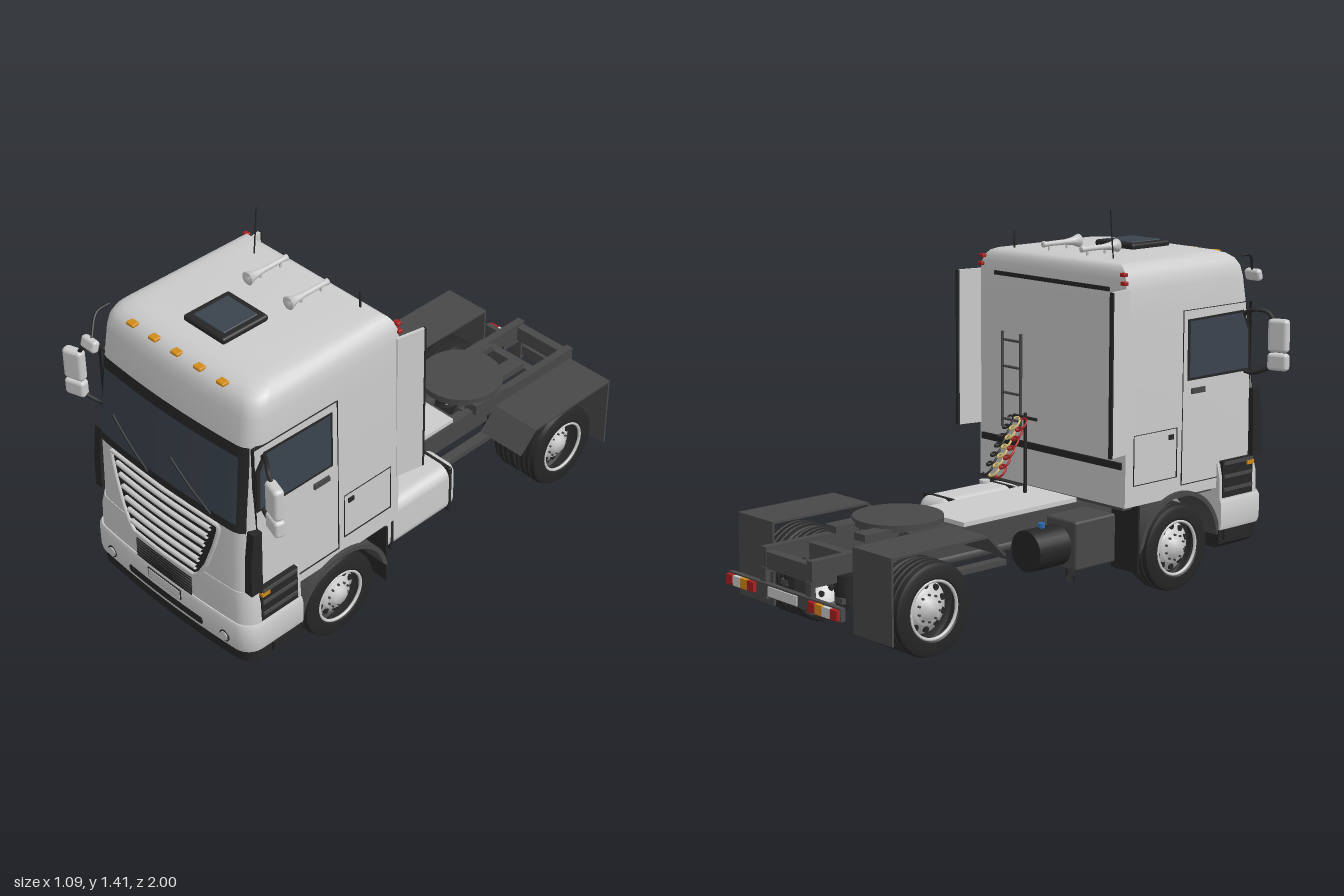
import * as THREE from 'three';
import { toCreasedNormals } from 'three/addons/utils/BufferGeometryUtils.js';
import { RoundedBoxGeometry } from 'three/addons/geometries/RoundedBoxGeometry.js';

const mat = (color) => new THREE.MeshStandardMaterial({ color, side: THREE.DoubleSide });
const V = (x, y, z) => new THREE.Vector3(x, y, z);

export function createModel() {
  const root = new THREE.Group();
  const grey = mat(0xcccccc), dark = mat(0x484848), black = mat(0x262626), glass = mat(0x3a434d);
  const amber = mat(0xd08a18), red = mat(0xa82020), blue = mat(0x2a6ab0), white = mat(0xe8e8e8), yellow = mat(0xd8c070);

  const add = (name, geo, m, p = [0, 0, 0], r = [0, 0, 0], parent = root) => {
    const mesh = new THREE.Mesh(geo, m);
    mesh.name = name; mesh.position.set(...p); mesh.rotation.set(...r);
    parent.add(mesh);
    return mesh;
  };
  // box given by its min and max along each axis
  const box = (name, m, x, y, z) => add(name, new THREE.BoxGeometry(x[1] - x[0], y[1] - y[0], z[1] - z[0]), m,
    [(x[0] + x[1]) / 2, (y[0] + y[1]) / 2, (z[0] + z[1]) / 2]);
  const pairBox = (name, m, x, y, z) => { box(name, m, x, y, z); box(name, m, [-x[1], -x[0]], y, z); };
  const rbox = (name, m, size, p, rad = 0.01, r) => add(name, new RoundedBoxGeometry(...size, 3, rad), m, p, r);
  const rotFor = { x: [0, 0, -Math.PI / 2], y: [0, 0, 0], z: [Math.PI / 2, 0, 0] };
  const cyl = (name, m, r1, r2, len, axis, p, parent) =>
    add(name, new THREE.CylinderGeometry(r1, r2, len, 28), m, p, rotFor[axis], parent);
  const tube = (name, m, pts, r, n = 24, straight = false) => {
    const v = pts.map((p) => V(...p));
    let path = new THREE.CatmullRomCurve3(v);
    if (straight) { path = new THREE.CurvePath(); v.slice(1).forEach((p, i) => path.add(new THREE.LineCurve3(v[i], p))); }
    return add(name, new THREE.TubeGeometry(path, n, r, 8), m);
  };
  // flat plate with a [z, y] outline, between x0 and x1, on both sides
  const sidePlate = (name, m, pts, x0, x1) => {
    const shape = new THREE.Shape(pts.map(([z, y]) => new THREE.Vector2(-z, y)));
    for (const s of [1, -1]) {
      const geo = new THREE.ExtrudeGeometry(shape, { depth: x1 - x0, bevelEnabled: false }).rotateY(Math.PI / 2);
      add(name, geo, m, [s > 0 ? x0 : -x1, 0, 0]);
    }
  };

  // Body sections: [y, half width, front z, back z, corner radius, bow]
  const cab = [[0.36, 0.385, 0.985, 0.245, 0.06, 0.02], [0.71, 0.388, 0.97, 0.245, 0.06, 0.02],
    [1.04, 0.386, 0.928, 0.245, 0.06, 0.02], [1.14, 0.383, 0.912, 0.245, 0.06, 0.02],
    [1.18, 0.377, 0.902, 0.247, 0.06, 0.02], [1.205, 0.365, 0.886, 0.253, 0.06, 0.02],
    [1.222, 0.347, 0.862, 0.262, 0.06, 0.02], [1.232, 0.32, 0.83, 0.28, 0.06, 0.02], [1.236, 0.28, 0.79, 0.31, 0.06, 0.02]];
  const bumper = [[0.2, 0.408, 0.998, 0.73, 0.06, 0.02], [0.215, 0.412, 1, 0.73, 0.06, 0.02],
    [0.3, 0.412, 1, 0.73, 0.06, 0.02], [0.315, 0.406, 0.994, 0.73, 0.06, 0.02]];
  const skirt = [[0.13, 0.385, 0.965, 0.73, 0.06, 0.02], [0.145, 0.402, 0.988, 0.73, 0.06, 0.02], [0.2, 0.404, 0.992, 0.73, 0.06, 0.02]];
  const apron = [[0.315, 0.402, 0.99, 0.73, 0.06, 0.02], [0.4, 0.4, 0.988, 0.73, 0.06, 0.02], [0.45, 0.389, 0.983, 0.73, 0.06, 0.02]];

  const section = (prof, y) => {
    let i = 0;
    while (i < prof.length - 2 && y > prof[i + 1][0]) i++;
    const t = THREE.MathUtils.clamp((y - prof[i][0]) / (prof[i + 1][0] - prof[i][0]), 0, 1);
    return prof[i].map((a, k) => a + (prof[i + 1][k] - a) * t);
  };
  const frontZ = ([, hw, zf, , r, bow], x) => {
    const d = Math.min(r, Math.max(0, Math.abs(x) - hw + r));
    return zf - bow * (x / hw) ** 2 - (r - Math.sqrt(r * r - d * d));
  };
  const meshFrom = (pos, idx) => {
    const geo = new THREE.BufferGeometry();
    geo.setAttribute('position', new THREE.Float32BufferAttribute(pos, 3));
    geo.setIndex(idx);
    return toCreasedNormals(geo, 0.6);
  };
  const loft = (name, m, prof) => {
    const pos = [], idx = [];
    let n = 0;
    for (const s of prof) {
      const [y, hw, , zb, r] = s, xs = [];
      for (let k = 0; k <= 6; k++) xs.push(-hw + r - r * Math.cos(k * Math.PI / 12));
      for (let k = 1; k < 12; k++) xs.push((hw - r) * (k / 6 - 1));
      for (let k = 6; k >= 0; k--) xs.push(hw - r + r * Math.cos(k * Math.PI / 12));
      pos.push(-hw, y, zb);
      xs.forEach((x) => pos.push(x, y, frontZ(s, x)));
      pos.push(hw, y, zb);
      n = xs.length + 2;
    }
    const top = prof.length - 1, c = pos.length / 3;
    pos.push(0, prof[0][0], 0.8, 0, prof[top][0], 0.75);
    for (let j = 0; j < n; j++) {
      const k = (j + 1) % n;
      for (let i = 0; i < top; i++) idx.push(i * n + j, i * n + k, (i + 1) * n + k, i * n + j, (i + 1) * n + k, (i + 1) * n + j);
      idx.push(c, k, j, c + 1, top * n + j, top * n + k);
    }
    add(name, meshFrom(pos, idx), m);
  };
  // skin lying on a front surface, rows are [y, half width]
  const skin = (name, m, prof, rows, off) => {
    const pos = [], idx = [], N = 40;
    rows.forEach(([y, w], i) => {
      for (let j = 0; j <= N; j++) {
        const x = w * (2 * j / N - 1), a = i * (N + 1) + j, b = a + N + 1;
        pos.push(x, y, frontZ(section(prof, y), x) + off);
        if (i < rows.length - 1 && j < N) idx.push(a, a + 1, b + 1, a, b + 1, b);
      }
    });
    add(name, meshFrom(pos, idx), m);
  };
  const onCab = (x, y, off) => [x, y, frontZ(section(cab, y), x) + off];

  // Cab shell and bumper
  loft('cabShell', grey, cab);
  loft('bumper', grey, bumper);
  loft('lowerBumper', black, skirt);
  loft('frontApron', grey, apron);
  box('cabFloor', dark, [-0.36, 0.36], [0.345, 0.362], [0.26, 0.95]);

  // Windscreen, wipers and grille
  skin('windscreenFrame', black, cab, [[0.705, 0.372], [0.8, 0.37], [0.95, 0.368], [1.04, 0.365]], 0.004);
  skin('windscreen', glass, cab, [[0.74, 0.345], [0.85, 0.342], [1, 0.336]], 0.008);
  for (const x of [-0.07, 0.24]) tube('wiper', black, [onCab(x, 0.735, 0.015), onCab(x - 0.1, 0.79, 0.016), onCab(x - 0.2, 0.85, 0.014)], 0.004);
  const grilleRows = [[0.42, 0.155], [0.44, 0.18], [0.5, 0.215], [0.6, 0.252], [0.67, 0.272], [0.7, 0.276]];
  skin('grille', black, cab, grilleRows, 0.008);
  const edge = (s) => grilleRows.map(([y, w]) => onCab(s * w, y, 0.01));
  tube('grilleSurround', grey, [...edge(-1).reverse(), onCab(0, 0.418, 0.01), ...edge(1), onCab(0, 0.702, 0.01), edge(-1)[5]], 0.008, 120, true);
  for (let i = 0; i < 6; i++) {
    const y = 0.462 + i * 0.042, w = 0.168 + i * 0.0145;
    tube('grilleBar', grey, [-1, -0.5, 0, 0.5, 1].map((t) => onCab(t * w, y, 0.014)), 0.0095);
  }
  skin('lowerGrille', black, apron, [[0.322, 0.145], [0.404, 0.145]], 0.01);
  for (let i = 0; i < 6; i++) box('meshBar', dark, [-0.143, 0.143], [0.332 + i * 0.0125, 0.335 + i * 0.0125], [0.992, 0.999]);
  box('numberPlateFrame', black, [-0.087, 0.087], [0.263, 0.305], [0.99, 1.001]);
  box('numberPlate', white, [-0.082, 0.082], [0.267, 0.301], [0.995, 1.003]);
  skin('bumperIntake', black, bumper, [[0.218, 0.19], [0.234, 0.197], [0.25, 0.19]], 0.003);
  for (const s of [1, -1]) {
    cyl('fogLampRing', black, 0.023, 0.023, 0.02, 'z', [s * 0.298, 0.235, 0.982]);
    cyl('fogLamp', white, 0.018, 0.018, 0.02, 'z', [s * 0.298, 0.235, 0.985]);
  }

  // Doors, windows, lockers and steps
  const outline = (name, z0, z1, y0, y1) => {
    const t = 0.002;
    for (const [a, b, c, d] of [[z0, z1, y0, y0 + t], [z0, z1, y1 - t, y1], [z0, z0 + t, y0, y1], [z1 - t, z1, y0, y1]])
      pairBox(name, black, [0.375, 0.3895], [c, d], [a, b]);
  };
  outline('doorSeam', 0.535, 0.905, 0.4, 1.045);
  outline('lockerSeam', 0.285, 0.51, 0.435, 0.62);
  sidePlate('windowFrame', black, [[0.56, 0.785], [0.56, 1.01], [0.86, 1.015], [0.895, 0.94], [0.9, 0.785]], 0.37, 0.3895);
  sidePlate('sideWindow', glass, [[0.57, 0.795], [0.57, 1.003], [0.85, 1.006], [0.882, 0.94], [0.887, 0.795]], 0.37, 0.391);
  pairBox('doorHandle', dark, [0.38, 0.396], [0.735, 0.755], [0.58, 0.65]);
  pairBox('lockerLatch', black, [0.38, 0.392], [0.58, 0.598], [0.465, 0.49]);
  sidePlate('cornerDeflector', black, [[0.905, 0.46], [0.955, 0.46], [0.95, 0.6], [0.935, 0.715], [0.9, 0.715]], 0.375, 0.408);
  pairBox('stepWell', black, [0.36, 0.404], [0.32, 0.46], [0.745, 0.91]);
  for (const y of [0.345, 0.395, 0.445]) pairBox('stepTread', dark, [0.37, 0.41], [y, y + 0.012], [0.75, 0.905]);
  pairBox('lowerStep', black, [0.38, 0.414], [0.16, 0.2], [0.75, 0.87]);
  pairBox('sideIndicator', amber, [0.38, 0.411], [0.43, 0.446], [0.875, 0.91]);

  // Roof fittings
  rbox('roofHatch', black, [0.2, 0.025, 0.2], [0, 1.245, 0.665], 0.01);
  rbox('hatchGlass', glass, [0.15, 0.01, 0.15], [0, 1.256, 0.665], 0.004);
  for (let i = -2; i <= 2; i++) rbox('roofMarker', amber, [0.036, 0.013, 0.03], [i * 0.111, 1.216, 0.878], 0.005);
  const horn = [[0.001, 0], [0.012, 0], [0.009, 0.02], [0.01, 0.11], [0.015, 0.15], [0.025, 0.18], [0.001, 0.165]].map((p) => new THREE.Vector2(...p));
  for (const s of [1, -1]) {
    add('airHorn', new THREE.LatheGeometry(horn, 20), grey, [s * 0.1, 1.26, 0.3], [Math.PI / 2, 0, 0]);
    for (const z of [0.33, 0.42]) cyl('hornFoot', grey, 0.005, 0.005, 0.03, 'y', [s * 0.1, 1.245, z]);
    rbox('rearMarker', red, [0.025, 0.014, 0.02], [s * 0.37, 1.2, 0.243], 0.004);
    rbox('rearMarker', red, [0.025, 0.014, 0.02], [s * 0.375, 1.17, 0.241], 0.004);
  }
  tube('antenna', black, [[-0.222, 1.23, 0.34], [-0.225, 1.32, 0.328], [-0.23, 1.41, 0.315]], 0.0025);
  cyl('shortAntenna', black, 0.003, 0.004, 0.07, 'y', [0.255, 1.265, 0.3]);

  // Mirrors
  for (const s of [1, -1]) {
    rbox('mainMirror', grey, [0.08, 0.125, 0.04], [s * 0.505, 0.925, 0.925], 0.015, [0, -s * 0.3, 0]);
    rbox('wideMirror', grey, [0.08, 0.065, 0.04], [s * 0.505, 0.827, 0.925], 0.013, [0, -s * 0.3, 0]);
    tube('upperMirrorArm', black, [[s * 0.375, 0.99, 0.86], [s * 0.41, 1.015, 0.875], [s * 0.46, 1.01, 0.91], [s * 0.49, 0.97, 0.92]], 0.008);
    tube('lowerMirrorArm', black, [[s * 0.38, 0.785, 0.87], [s * 0.42, 0.78, 0.885], [s * 0.49, 0.81, 0.92]], 0.008);
  }
  rbox('kerbMirror', grey, [0.072, 0.045, 0.03], [-0.328, 1.13, 0.98], 0.012, [-0.3, 0, 0]);
  tube('kerbMirrorArm', black, [[-0.365, 1.215, 0.86], [-0.36, 1.21, 0.92], [-0.325, 1.145, 0.975]], 0.005);

  // Cab rear: deflectors, ladder, strips, hose post
  for (const s of [1, -1]) {
    add('airDeflector', new THREE.BoxGeometry(0.012, 0.59, 0.11), grey, [s * 0.395, 0.855, 0.205], [0, -s * 0.2, 0]);
    add('deflectorEdge', new THREE.BoxGeometry(0.014, 0.59, 0.008), black, [s * 0.406, 0.855, 0.149], [0, -s * 0.2, 0]);
    cyl('ladderRail', dark, 0.006, 0.006, 0.36, 'y', [0.19 + s * 0.05, 0.75, 0.225]);
  }
  for (let i = 0; i < 4; i++) cyl('ladderRung', dark, 0.005, 0.005, 0.1, 'x', [0.19, 0.6 + i * 0.1, 0.225]);
  box('upperRearStrip', black, [-0.3, 0.3], [1.135, 1.15], [0.238, 0.25]);
  box('lowerRearStrip', black, [-0.37, 0.37], [0.5, 0.525], [0.236, 0.25]);
  cyl('hosePost', black, 0.007, 0.007, 0.31, 'y', [0.05, 0.5, 0.165]);
  cyl('hoseBar', black, 0.006, 0.006, 0.12, 'x', [0.045, 0.64, 0.16]);
  [red, yellow, black].forEach((m, k) => {
    const pts = [];
    for (let i = 0; i <= 72; i++) {
      const t = i / 72, a = t * Math.PI * 12;
      pts.push([0.01 + k * 0.035 + 0.016 * Math.cos(a), 0.64 - 0.19 * t + 0.012 * Math.sin(a), 0.12 - 0.12 * t + 0.014 * Math.sin(a)]);
    }
    tube('coiledHose', m, pts, 0.004, 150);
  });

  // Chassis frame
  pairBox('frameRail', dark, [0.112, 0.142], [0.25, 0.34], [-0.97, 0.93]);
  for (const z of [-0.95, -0.77, -0.32, 0.2]) box('crossMember', dark, [-0.13, 0.13], [0.265, 0.325], [z - 0.018, z + 0.018]);
  box('deckPlate', grey, [-0.135, 0.135], [0.34, 0.356], [-0.3, 0.25]);
  rbox('engine', dark, [0.2, 0.26, 0.48], [0, 0.23, 0.66], 0.04);
  cyl('gearbox', dark, 0.07, 0.05, 0.3, 'z', [0, 0.22, 0.29]);
  cyl('driveShaft', dark, 0.022, 0.022, 0.8, 'z', [0, 0.19, -0.22]);
  cyl('fifthWheel', dark, 0.16, 0.16, 0.025, 'y', [0, 0.38, -0.485]);
  pairBox('fifthWheelRamp', dark, [0.05, 0.11], [0.355, 0.38], [-0.72, -0.56]);
  pairBox('fifthWheelBracket', dark, [0.1, 0.16], [0.33, 0.372], [-0.57, -0.4]);
  box('tailBar', dark, [-0.31, 0.31], [0.175, 0.22], [-0.985, -0.965]);
  pairBox('tailBracket', dark, [0.11, 0.14], [0.16, 0.27], [-0.975, -0.955]);
  box('rearPlate', white, [-0.08, 0.08], [0.18, 0.214], [-0.99, -0.98]);
  [red, amber, white, red].forEach((m, i) => pairBox('tailLamp', m, [0.15 + i * 0.04, 0.187 + i * 0.04], [0.18, 0.215], [-1, -0.98]));

  // Axles and suspension
  cyl('rearAxle', dark, 0.035, 0.035, 0.62, 'x', [0, 0.165, -0.65]);
  add('differential', new THREE.SphereGeometry(0.085, 24, 16), dark, [0, 0.175, -0.65]);
  cyl('differentialNose', dark, 0.04, 0.06, 0.12, 'z', [0, 0.18, -0.55]);
  cyl('frontAxle', dark, 0.03, 0.03, 0.6, 'x', [0, 0.15, 0.525]);
  for (const s of [1, -1]) {
    for (const z of [-0.83, -0.52]) cyl('airSpring', black, 0.038, 0.038, 0.1, 'y', [s * 0.14, 0.225, z]);
    box('springArm', dark, [s * 0.15 - 0.02, s * 0.15 + 0.02], [0.18, 0.2], [-0.87, -0.13]);
    box('frontLeafSpring', dark, [s * 0.17 - 0.02, s * 0.17 + 0.02], [0.17, 0.2], [0.25, 0.85]);
  }

  // Fuel tank, air tank, battery box, exhaust
  rbox('fuelTank', grey, [0.165, 0.2, 0.41], [0.24, 0.25, 0.07], 0.045);
  for (const z of [-0.09, 0.21]) rbox('tankStrap', black, [0.171, 0.206, 0.016], [0.24, 0.25, z], 0.007);
  cyl('tankCap', grey, 0.02, 0.02, 0.02, 'y', [0.285, 0.352, 0.175]);
  cyl('airTank', black, 0.075, 0.075, 0.15, 'z', [-0.275, 0.25, -0.06]);
  cyl('airTankCap', blue, 0.013, 0.013, 0.02, 'y', [-0.275, 0.33, -0.06]);
  rbox('batteryBox', dark, [0.155, 0.18, 0.2], [-0.275, 0.25, 0.135], 0.01);
  tube('exhaustPipe', black, [[-0.2, 0.18, 0.2], [-0.24, 0.14, 0.12], [-0.3, 0.12, 0.06]], 0.018);

  // Wheel arches, rear fenders and mud flaps
  const arch = [];
  for (let i = 0; i <= 48; i++) {
    const k = i <= 24 ? i : 48 - i, r = i <= 24 ? 0.215 : 0.198, a = Math.PI * (0.03 + 0.94 * k / 24);
    arch.push([0.525 + r * Math.cos(a), 0.165 + r * Math.sin(a)]);
  }
  sidePlate('wheelArch', dark, arch, 0.25, 0.4);
  pairBox('frontMudFlap', black, [0.26, 0.395], [0.11, 0.36], [0.305, 0.313]);
  sidePlate('rearFender', dark, [[-0.36, 0.31], [-0.44, 0.388], [-0.862, 0.388], [-0.862, 0.09], [-0.854, 0.09], [-0.854, 0.38], [-0.443, 0.38], [-0.366, 0.304]], 0.22, 0.42);

  // Wheels
  const lathe = (pts) => new THREE.LatheGeometry(pts.map(([r, h]) => new THREE.Vector2(r, h)), 48).rotateZ(-Math.PI / 2);
  const tread = [];
  for (const h of [-0.026, 0, 0.026]) tread.push([0.165, h - 0.005], [0.159, h - 0.003], [0.159, h + 0.003], [0.165, h + 0.005]);
  const tyre = [[0.098, -0.045], [0.11, -0.052], [0.145, -0.052], [0.16, -0.046], ...tread, [0.16, 0.046], [0.145, 0.052], [0.11, 0.052], [0.098, 0.045]];
  const wheel = (name, x, z, s, hub) => {
    const g = new THREE.Group();
    g.name = name; g.position.set(s * x, 0.165, z); g.rotation.y = s > 0 ? 0 : Math.PI;
    root.add(g);
    add('tyre', toCreasedNormals(lathe(tyre), 0.5), black, undefined, undefined, g);
    add('rim', lathe([[0.098, -0.045], [0.092, hub - 0.025], [0.06, hub - 0.012], [0.058, hub], [0.035, hub], [0.03, hub + 0.018], [0, hub + 0.02]].concat()), grey, undefined, undefined, g);
    add('rimLip', new THREE.TorusGeometry(0.1, 0.006, 8, 40), grey, [0.046, 0, 0], [0, Math.PI / 2, 0], g);
    for (let i = 0; i < 10; i++) {
      const a = i * Math.PI / 5;
      cyl('rimHole', black, 0.011, 0.011, 0.012, 'x', [hub - 0.018, 0.076 * Math.cos(a), 0.076 * Math.sin(a)], g);
      cyl('wheelNut', dark, 0.004, 0.004, 0.01, 'x', [hub + 0.003, 0.047 * Math.cos(a), 0.047 * Math.sin(a)], g);
    }
  };
  for (const s of [1, -1]) {
    wheel('frontWheel', 0.333, 0.525, s, 0.035);
    wheel('outerRearWheel', 0.335, -0.65, s, 0.02);
    wheel('innerRearWheel', 0.228, -0.65, s, 0.02);
  }
  return root;
}
